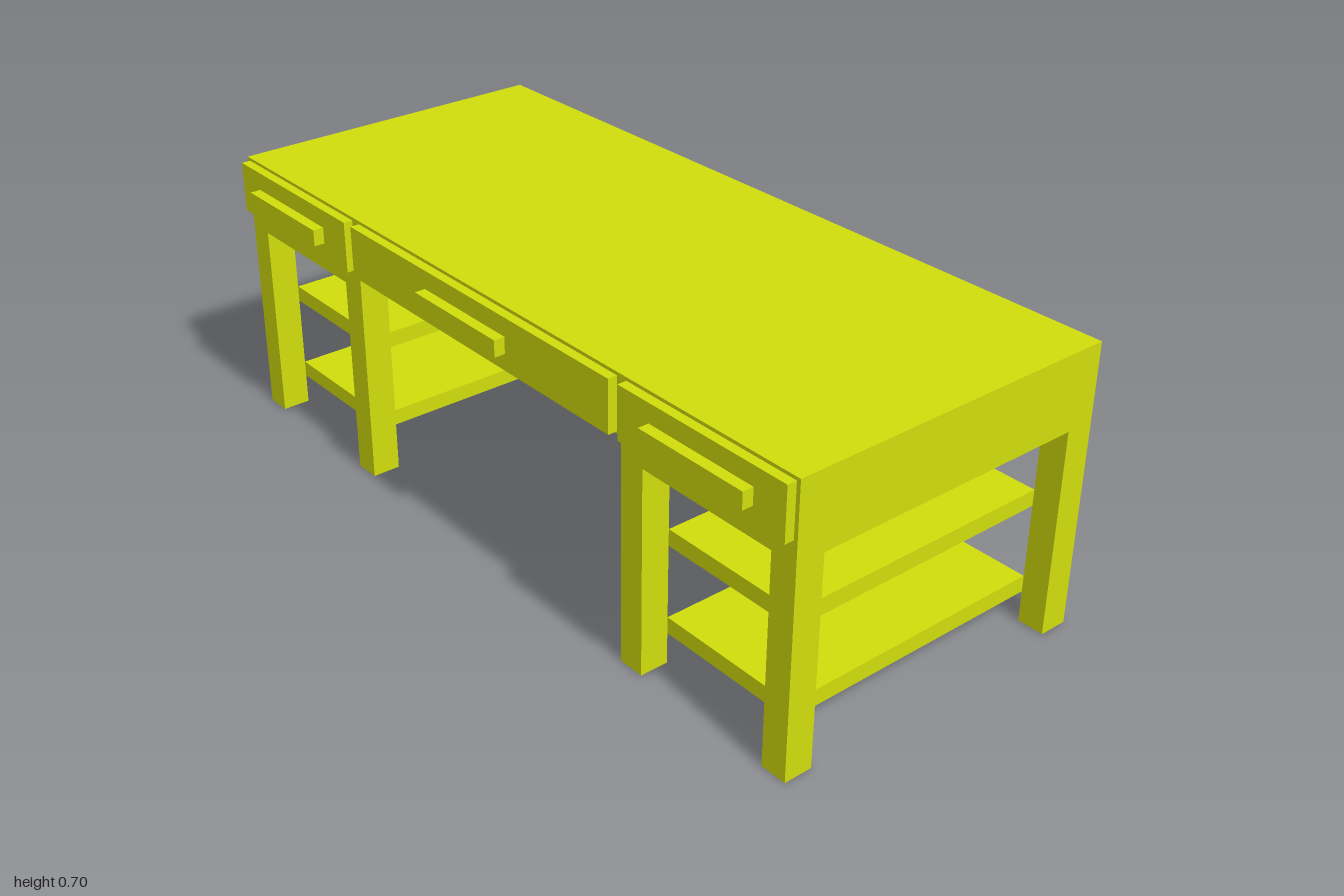
import * as THREE from 'three';

const material = new THREE.MeshStandardMaterial({ color: 0xd2de0c });

// Box given by its extents along x, y and z
function addBox(parent, name, [x0, x1], [y0, y1], [z0, z1]) {
  const mesh = new THREE.Mesh(new THREE.BoxGeometry(x1 - x0, y1 - y0, z1 - z0), material);
  mesh.name = name;
  mesh.position.set((x0 + x1) / 2, (y0 + y1) / 2, (z0 + z1) / 2);
  parent.add(mesh);
}

// Extents running from a to b on the +x side, mirrored when side is -1
const mirrored = (side, a, b) => (side > 0 ? [a, b] : [-b, -a]);

export function createModel() {
  const desk = new THREE.Group();
  desk.name = 'desk';
  const back = -0.45, front = 0.4;
  const legBack = -0.377, legFront = 0.328;
  const apronTop = 0.558, apronBottom = 0.513;

  // Thick desktop
  addBox(desk, 'desktop', [-1, 1], [apronTop, 0.7], [back, front]);

  // Two open pedestals: apron, four legs and two shelves each
  for (const side of [-1, 1]) {
    const pedestal = new THREE.Group();
    pedestal.name = side > 0 ? 'leftPedestal' : 'rightPedestal';
    desk.add(pedestal);

    addBox(pedestal, 'apron', mirrored(side, 0.49, 1), [apronBottom, apronTop], [back, front]);
    for (const [a, b] of [[0.49, 0.558], [0.933, 1]]) {
      addBox(pedestal, 'backLeg', mirrored(side, a, b), [0, apronBottom], [back, legBack]);
      addBox(pedestal, 'frontLeg', mirrored(side, a, b), [0, apronBottom], [legFront, front]);
    }
    for (const [y0, y1] of [[0.078, 0.119], [0.3, 0.341]]) {
      addBox(pedestal, 'shelf', mirrored(side, 0.558, 0.933), [y0, y1], [legBack, legFront]);
    }
  }

  // Drawer fronts with bar handles
  const drawers = [
    { name: 'rightDrawer', span: [-0.99, -0.507], handleX: -0.756 },
    { name: 'middleDrawer', span: [-0.478, 0.478], handleX: -0.022 },
    { name: 'leftDrawer', span: [0.507, 0.99], handleX: 0.753 },
  ];
  for (const { name, span, handleX } of drawers) {
    const drawer = new THREE.Group();
    drawer.name = name;
    desk.add(drawer);
    addBox(drawer, 'drawerFront', span, [0.564, 0.692], [front, 0.423]);
    addBox(drawer, 'handle', [handleX - 0.15, handleX + 0.15], [0.605, 0.646], [0.423, 0.45]);
  }
  return desk;
}
